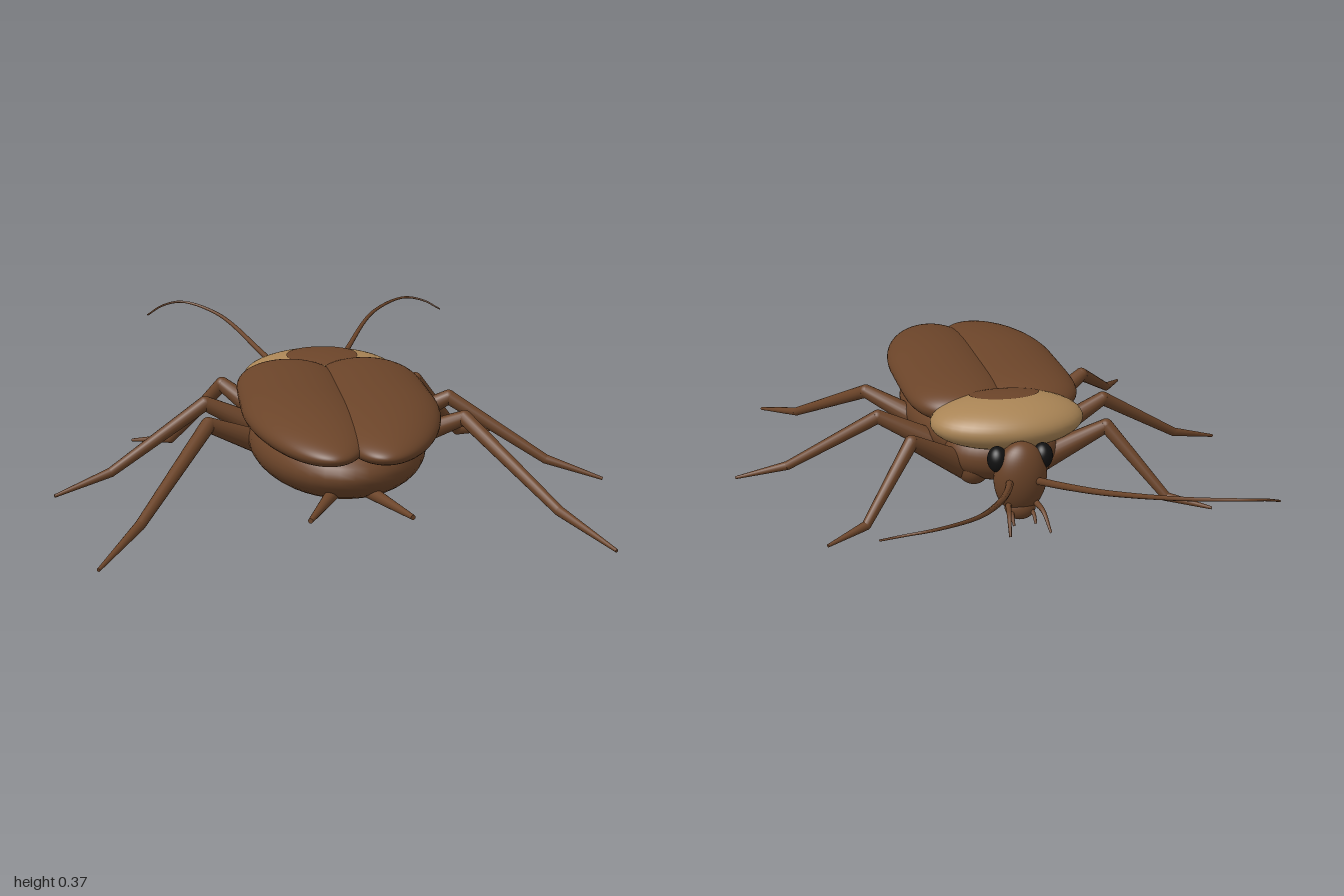
import * as THREE from 'three';
import { mergeVertices } from 'three/addons/utils/BufferGeometryUtils.js';

const brown = new THREE.MeshStandardMaterial({ name: 'chestnut brown', color: 0x6b4429 });
const tan = new THREE.MeshStandardMaterial({ name: 'tan', color: 0xa98455 });
const black = new THREE.MeshStandardMaterial({ name: 'eye black', color: 0x111111 });

const V = (p) => new THREE.Vector3(...p);

function add(parent, name, geometry, material) {
  const mesh = new THREE.Mesh(geometry, material);
  mesh.name = name;
  parent.add(mesh);
  return mesh;
}

function ellipsoid(parent, name, material, center, radii) {
  const mesh = add(parent, name, new THREE.SphereGeometry(1, 40, 28), material);
  mesh.position.set(...center);
  mesh.scale.set(...radii);
  return mesh;
}

// Straight tapered limb segment between two points
function segment(parent, name, a, b, ra, rb) {
  const dir = V(b).sub(V(a));
  const mesh = add(parent, name, new THREE.CylinderGeometry(rb, ra, dir.length(), 16), brown);
  mesh.position.copy(V(a).add(V(b)).multiplyScalar(0.5));
  mesh.quaternion.setFromUnitVectors(new THREE.Vector3(0, 1, 0), dir.normalize());
}

// Curved tube whose radius shrinks from ra to rb
function taperedTube(parent, name, points, ra, rb, steps) {
  const sides = 8;
  const curve = new THREE.CatmullRomCurve3(points.map(V));
  const geo = new THREE.TubeGeometry(curve, steps, 1, sides);
  const pos = geo.attributes.position;
  const v = new THREE.Vector3();
  for (let i = 0; i < pos.count; i++) {
    const t = Math.floor(i / (sides + 1)) / steps;
    const c = curve.getPointAt(t);
    v.fromBufferAttribute(pos, i).sub(c).multiplyScalar(ra + (rb - ra) * t).add(c);
    pos.setXYZ(i, v.x, v.y, v.z);
  }
  add(parent, name, geo, brown);
}

// Long wing cover: a sphere reshaped with a blunt front and a narrowing tail
function wingGeometry(side) {
  const geo = new THREE.SphereGeometry(1, 48, 64);
  geo.rotateX(Math.PI / 2);
  geo.deleteAttribute('uv');
  geo.deleteAttribute('normal');
  const pos = geo.attributes.position;
  for (let i = 0; i < pos.count; i++) {
    const x = pos.getX(i), y = pos.getY(i), t = pos.getZ(i);
    const ring = Math.hypot(x, y);
    const rear = Math.max(0, t);
    const fill = Math.sqrt(Math.max(0, 1 - Math.abs(t) ** (t > 0 ? 2.2 : 6)));
    const k = ring > 1e-5 ? fill / ring : 0;
    pos.setXYZ(i,
      side * (0.12 - 0.05 * rear ** 1.5) + 0.17 * x * k,
      0.3 - 0.02 * rear * rear + 0.07 * y * k,
      0.48 + 0.5 * t);
  }
  const merged = mergeVertices(geo, 1e-5);
  merged.computeVertexNormals();
  return merged;
}

// Thin oval marking that follows the curve of the neck shield
function markGeometry(center, radii) {
  const geo = new THREE.RingGeometry(0.001, 1, 40, 8);
  geo.rotateX(-Math.PI / 2);
  const pos = geo.attributes.position;
  for (let i = 0; i < pos.count; i++) {
    const x = pos.getX(i) * 0.115, z = pos.getZ(i) * 0.085;
    const dx = (x - center[0]) / radii[0], dz = (z - center[2]) / radii[2];
    pos.setXYZ(i, x, center[1] + radii[1] * Math.sqrt(1 - dx * dx - dz * dz) + 0.003, z);
  }
  geo.computeVertexNormals();
  return geo;
}

// Hip, knee, ankle and toe positions for the left side
const legs = [
  { name: 'frontLeg', points: [[0.1, 0.09, 0.03], [0.32, 0.245, -0.085], [0.49, 0.03, -0.21], [0.62, 0.008, -0.285]] },
  { name: 'middleLeg', points: [[0.1, 0.1, 0.13], [0.385, 0.245, 0.17], [0.68, 0.06, 0.27], [0.85, 0.008, 0.33]] },
  { name: 'hindLeg', points: [[0.1, 0.1, 0.28], [0.385, 0.245, 0.43], [0.59, 0.06, 0.79], [0.7, 0.008, 0.995]] },
];
const legRadii = [0.048, 0.023, 0.015, 0.005];

export function createModel() {
  const model = new THREE.Group();
  model.name = 'cockroach';

  // Body
  ellipsoid(model, 'abdomen', brown, [0, 0.187, 0.38], [0.265, 0.134, 0.475]);
  ellipsoid(model, 'thorax', brown, [0, 0.16, 0.03], [0.19, 0.105, 0.14]);
  ellipsoid(model, 'neck', brown, [0, 0.2, -0.12], [0.07, 0.06, 0.1]);

  // Neck shield with its dark mark
  const center = [0, 0.28, -0.04], radii = [0.25, 0.083, 0.17];
  ellipsoid(model, 'neckShield', tan, center, radii);
  add(model, 'shieldMark', markGeometry(center, radii), brown);

  // Head
  const head = ellipsoid(model, 'head', brown, [0, 0.15, -0.22], [0.085, 0.122, 0.065]);
  head.rotation.x = -0.12;
  ellipsoid(model, 'mouth', brown, [0, 0.05, -0.22], [0.05, 0.042, 0.04]);

  for (const s of [1, -1]) {
    const side = s > 0 ? 'left' : 'right';
    const m = ([x, y, z]) => [s * x, y, z];

    add(model, side + 'WingCover', wingGeometry(s), brown);
    ellipsoid(model, side + 'Eye', black, m([0.073, 0.215, -0.217]), [0.032, 0.042, 0.036]);

    // Antenna
    taperedTube(model, side + 'Antenna', [[0.045, 0.15, -0.265], [0.09, 0.19, -0.42], [0.165, 0.243, -0.62],
      [0.3, 0.324, -0.89], [0.43, 0.352, -0.995], [0.5, 0.341, -0.985], [0.56, 0.313, -0.94]].map(m), 0.013, 0.003, 60);

    // Mouth feelers
    taperedTube(model, side + 'LongPalp',
      [[0.045, 0.07, -0.25], [0.055, 0.06, -0.3], [0.065, 0.01, -0.358]].map(m), 0.01, 0.004, 16);
    taperedTube(model, side + 'ShortPalp',
      [[0.03, 0.045, -0.23], [0.035, 0.035, -0.26], [0.035, 0.012, -0.285]].map(m), 0.009, 0.004, 12);

    // Tail feeler
    segment(model, side + 'TailFeeler', m([0.05, 0.127, 0.76]), m([0.138, 0.122, 0.99]), 0.02, 0.007);

    // Legs with rounded joints
    for (const { name, points } of legs) {
      const leg = new THREE.Group();
      leg.name = side + name[0].toUpperCase() + name.slice(1);
      model.add(leg);
      const p = points.map(m);
      ['femur', 'tibia', 'foot'].forEach((part, i) => {
        segment(leg, part, p[i], p[i + 1], legRadii[i], legRadii[i + 1]);
        const joint = add(leg, part + 'Joint', new THREE.SphereGeometry(legRadii[i], 16, 12), brown);
        joint.position.set(...p[i]);
      });
    }

    // Hip of the front leg
    ellipsoid(model, side + 'FrontHip', brown, m([0.1, 0.115, 0.02]), [0.06, 0.07, 0.08]);
  }
  return model;
}
